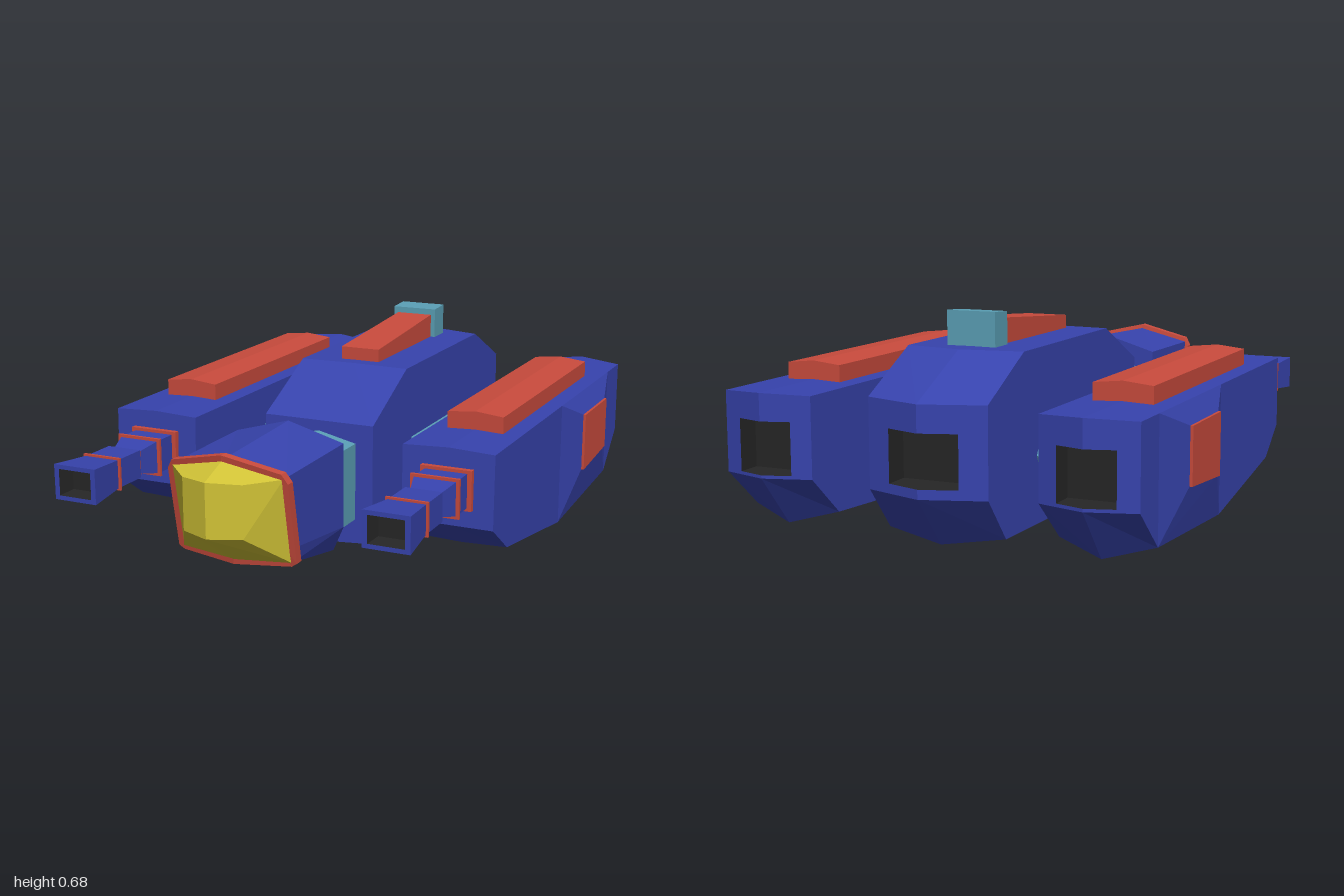
import * as THREE from 'three';

const paint = (color, side = THREE.FrontSide) =>
  new THREE.MeshStandardMaterial({ color, flatShading: true, side });
const BLUE = paint(0x3743ad), RED = paint(0xc94b3d), TEAL = paint(0x5a9fb5), YELLOW = paint(0xd0c236);
const DARK = paint(0x262626, THREE.DoubleSide), PANEL = paint(0x3743ad, THREE.DoubleSide);

// Turns a list of corner triples into a flat-shaded mesh
function facets(name, material, tris) {
  const geo = new THREE.BufferGeometry();
  geo.setAttribute('position', new THREE.Float32BufferAttribute(tris.flat(2), 3));
  geo.computeVertexNormals();
  const mesh = new THREE.Mesh(geo, material);
  mesh.name = name;
  return mesh;
}

// Skins a row of cross-section rings, facing outward; wrap = false leaves the last side open
function loft(name, material, rings, { capA = true, capB = true, wrap = true } = {}) {
  const tris = [], n = rings[0].length;
  for (let r = 0; r + 1 < rings.length; r++) {
    for (let i = 0; i < (wrap ? n : n - 1); i++) {
      const j = (i + 1) % n, A = rings[r], B = rings[r + 1];
      tris.push([A[i], A[j], B[j]], [A[i], B[j], B[i]]);
    }
  }
  const first = rings[0], last = rings[rings.length - 1];
  for (let i = 1; i + 1 < n; i++) {
    if (capA) tris.push([first[0], first[i + 1], first[i]]);
    if (capB) tris.push([last[0], last[i], last[i + 1]]);
  }
  const pts = rings.flat(), mid = [0, 1, 2].map(k => pts.reduce((s, p) => s + p[k], 0) / pts.length);
  let volume = 0;
  for (const t of tris) {
    const [a, b, c] = t.map(p => new THREE.Vector3(p[0] - mid[0], p[1] - mid[1], p[2] - mid[2]));
    volume += a.dot(b.cross(c));
  }
  if (volume < 0) tris.forEach(t => t.reverse());
  return facets(name, material, tris);
}

// Rectangular ring across z
const rect = (cx, cy, z, hw, hh) =>
  [[cx - hw, cy - hh, z], [cx + hw, cy - hh, z], [cx + hw, cy + hh, z], [cx - hw, cy + hh, z]];

// Completes a ring given its right half, first and last points being on the centre line
const mirrorRing = half =>
  [...half, ...half.slice(1, -1).reverse().map(([x, y, z]) => [-x, y, z])];

// Hull: [z, y] profiles at the flanks and centre line, starting and ending at the stern
function hull(name, cx, hw, flank, centre, holeHalf) {
  const group = new THREE.Group();
  group.name = name;
  const ring = (x, profile) => profile.map(([z, y]) => [x, y, z]);
  group.add(loft(name + 'Shell', BLUE,
    [ring(cx - hw, flank), ring(cx, centre), ring(cx + hw, flank)], { wrap: false }));

  // Ridged stern wall around the exhaust opening
  const n = flank.length - 1, lo = 0.2, hi = 0.365;
  const zSide = flank[0][0], zMid = centre[0][0];
  const zHole = zMid + (zSide - zMid) * holeHalf / hw;
  const tris = [];
  const quad = (a, b, c, d) => tris.push([a, b, c], [a, c, d]);
  for (const s of [-1, 1]) {
    const top = [cx + s * hw, flank[0][1], zSide], low = [cx + s * hw, flank[n][1], zSide];
    const mTop = [cx, centre[0][1], zMid], mLow = [cx, centre[n][1], zMid];
    const hTop = [cx + s * holeHalf, hi, zHole], hLow = [cx + s * holeHalf, lo, zHole];
    quad(top, mTop, [cx, hi, zMid], hTop);
    quad(low, mLow, [cx, lo, zMid], hLow);
    quad(top, hTop, hLow, low);
  }
  group.add(facets(name + 'Stern', PANEL, tris));

  // Exhaust recess
  const mouth = [[cx, hi, zMid], [cx + holeHalf, hi, zHole], [cx + holeHalf, lo, zHole],
    [cx, lo, zMid], [cx - holeHalf, lo, zHole], [cx - holeHalf, hi, zHole]];
  const back = mouth.map(([x, y]) => [x, y, zSide + 0.06]);
  group.add(loft(name + 'Exhaust', DARK, [mouth, back], { capA: false }));
  return group;
}

// Gun: stepped square barrel with red collars and a dark bore
function gun(cx) {
  const group = new THREE.Group(), cy = 0.327;
  group.name = 'gun';
  const part = (name, mat, sections, opts) =>
    group.add(loft(name, mat, sections.map(([z, w, h]) => rect(cx, cy, z, w, h)), opts));
  part('breech', BLUE, [[0.43, 0.07, 0.055], [0.535, 0.07, 0.055], [0.615, 0.048, 0.036]]);
  part('barrel', BLUE, [[0.625, 0.06, 0.046], [0.75, 0.06, 0.046], [0.9, 0.075, 0.057], [0.9, 0.058, 0.043]],
    { capB: false });
  part('bore', DARK, [[0.9, 0.058, 0.043], [0.84, 0.05, 0.038]], { capA: false });
  for (const [z, len, w, h] of [[0.44, 0.02, 0.085, 0.065], [0.535, 0.01, 0.08, 0.063],
    [0.62, 0.012, 0.054, 0.04], [0.75, 0.008, 0.068, 0.053]]) {
    part('collar', RED, [[z - len / 2, w, h], [z + len / 2, w, h]]);
  }
  return group;
}

// Side pod with flank bulge, red panel, roof strip and gun
function pod(s) {
  const group = new THREE.Group(), cx = s * 0.525;
  group.name = s > 0 ? 'leftPod' : 'rightPod';
  group.add(hull('podHull', cx, 0.152,
    [[-0.955, 0.445], [0.43, 0.445], [0.435, 0.205], [0.3, 0.11], [-0.24, 0.027], [-0.81, 0.06], [-0.955, 0.19]],
    [[-1, 0.452], [0.43, 0.452], [0.435, 0.205], [0.3, 0.105], [-0.24, 0.02], [-0.86, 0.022], [-1, 0.19]], 0.09));
  const panelRing = x => [[x, 0.385, -0.38], [x, 0.385, -0.645], [x, 0.205, -0.645], [x, 0.185, -0.38]];
  const base = [[0.445, -0.24], [0.445, -0.81], [0.06, -0.81], [0.027, -0.24]].map(([y, z]) => [s * 0.677, y, z]);
  group.add(loft('flankBulge', BLUE, [base, panelRing(s * 0.713)]));
  group.add(loft('flankPanel', RED, [panelRing(s * 0.7), panelRing(s * 0.722)]));
  const strip = z => mirrorRing([[0, 0.512, z], [0.095, 0.502, z], [0.095, 0.44, z], [0, 0.44, z]])
    .map(([x, y, w]) => [x + cx, y, w]);
  group.add(loft('roofStrip', RED, [strip(-0.7), strip(0.2)]));
  group.add(gun(cx));
  return group;
}

export function createModel() {
  const model = new THREE.Group();
  model.name = 'spacecraft';

  // Pods and the wing beam joining them
  for (const s of [-1, 1]) model.add(pod(s));
  const beam = x => [[0.325, -0.06], [0.215, -0.015], [0.145, -0.06], [0.145, -0.53], [0.24, -0.58], [0.325, -0.53]]
    .map(([y, z]) => [x, y, z]);
  model.add(loft('wingBeam', TEAL, [beam(-0.4), beam(0.4)]));

  // Centre hull
  model.add(hull('centreHull', 0, 0.197,
    [[-0.915, 0.45], [-0.67, 0.575], [-0.01, 0.575], [0.265, 0.44], [0.27, 0.037], [-0.23, 0.018], [-0.8, 0.03], [-0.915, 0.17]],
    [[-0.98, 0.45], [-0.715, 0.577], [-0.01, 0.577], [0.265, 0.44], [0.27, 0.022], [-0.23, 0.003], [-0.84, 0.003], [-0.98, 0.17]],
    0.115));

  // Roof fin and block
  model.add(loft('roofFin', RED, [rect(0, 0.595, -0.06, 0.07, 0.025), rect(0, 0.615, -0.56, 0.066, 0.045)]));
  model.add(loft('roofBlock', TEAL, [rect(0, 0.622, -0.545, 0.082, 0.058), rect(0, 0.627, -0.63, 0.082, 0.058)]));

  // Neck
  const neck = z => mirrorRing([[0, 0.405, z], [0.135, 0.375, z], [0.135, 0.115, z], [0, 0.092, z]]);
  model.add(loft('neck', TEAL, [neck(0.2), neck(0.52)]));

  // Cockpit pod
  model.add(loft('cockpit', BLUE, [
    mirrorRing([[0, 0.49, 0.48], [0.19, 0.435, 0.472], [0.19, 0.16, 0.472], [0.155, 0.078, 0.475], [0, 0.065, 0.48]]),
    mirrorRing([[0, 0.472, 0.88], [0.19, 0.43, 0.855], [0.19, 0.2, 0.815], [0.18, 0.15, 0.805], [0, 0.14, 0.83]]),
  ]));

  // Canopy frame
  const frame = dz => mirrorRing([[0, 0.487, 0.875], [0.185, 0.445, 0.85], [0.203, 0.415, 0.842],
    [0.203, 0.155, 0.792], [0.185, 0.143, 0.79], [0, 0.13, 0.812]].map(([x, y, z]) => [x, y, z + dz]));
  model.add(loft('canopyFrame', RED, [frame(0), frame(0.03)]));

  // Canopy glass
  model.add(loft('canopy', YELLOW, [
    mirrorRing([[0, 0.468, 0.9], [0.188, 0.428, 0.872], [0.188, 0.153, 0.818], [0, 0.142, 0.838]]),
    mirrorRing([[0, 0.43, 1], [0.1, 0.424, 0.958], [0.1, 0.258, 0.958], [0, 0.258, 1]]),
  ]));
  return model;
}
